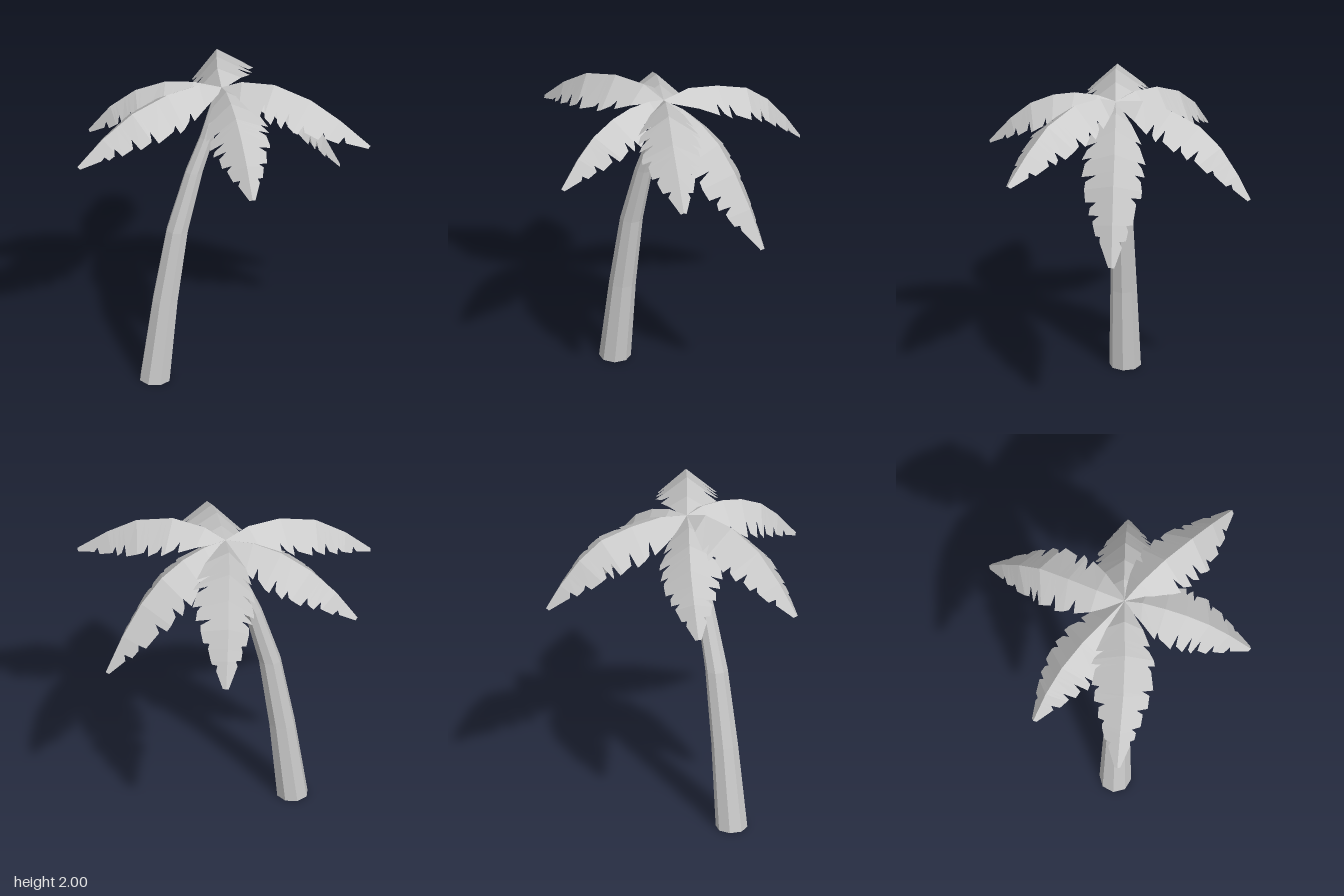
import * as THREE from 'three';

const V = (x, y, z) => new THREE.Vector3(x, y, z);
const material = new THREE.MeshStandardMaterial({ color: 0xcccccc, flatShading: true, side: THREE.DoubleSide });
const CROWN = [0.08, 1.92, 0.04];

// Small seeded generator for the torn leaf edges
function seeded(seed) {
  let s = seed * 7919 + 17;
  return () => (s = (s * 16807) % 2147483647) / 2147483647;
}

// Piecewise linear lookup in [t, value] pairs
function lookup(table, t) {
  for (let i = 1; i < table.length; i++) {
    const [a, va] = table[i - 1], [b, vb] = table[i];
    if (t <= b) return va + (vb - va) * (t - a) / (b - a);
  }
  return table[table.length - 1][1];
}

const WIDTH = [[0, 0.015], [0.06, 0.05], [0.2, 0.15], [0.36, 0.185], [0.55, 0.18], [0.72, 0.14], [0.88, 0.075], [1, 0.018]];

// Trunk: an open eight-sided tube bent through rings of [x, y, radius]
function makeTrunk() {
  const rings = [[-0.34, 0, 0.095], [-0.275, 0.53, 0.08], [-0.198, 1, 0.068], [-0.092, 1.38, 0.054], [-0.01, 1.6, 0.045], [0.075, 1.9, 0.035]];
  const n = rings.length - 1;
  const geo = new THREE.CylinderGeometry(1, 1, n, 8, n, true);
  const pos = geo.attributes.position;
  for (let i = 0; i < pos.count; i++) {
    const [x, y, r] = rings[Math.round(pos.getY(i) + n / 2)];
    pos.setXYZ(i, x + pos.getX(i) * r, y, 0.04 + pos.getZ(i) * r);
  }
  const flat = geo.toNonIndexed();
  flat.computeVertexNormals();
  const mesh = new THREE.Mesh(flat, material);
  mesh.name = 'trunk';
  return mesh;
}

// Share of the full width along one half leaf, with a few sharp tears
function tornEdge(rand) {
  const share = [[0, 1]];
  const tears = 6;
  for (let i = 0; i < tears; i++) {
    const t = 0.24 + 0.7 * (i + 0.6 * rand()) / tears;
    share.push([t, 1.05], [t + 0.006, 0.55 + 0.25 * rand()], [t + 0.034, 0.93]);
  }
  share.push([1, 1]);
  return share;
}

// Frond: two drooping half leaves, faceted at each rib station and folded along the rib
function makeFrond(points, rollDegrees, seed) {
  const ribs = [CROWN, ...points].map(p => V(...p));
  const curve = new THREE.CatmullRomCurve3(ribs);
  const lengths = [0];
  for (let i = 1; i < ribs.length; i++) lengths.push(lengths[i - 1] + ribs[i].distanceTo(ribs[i - 1]));
  const stations = lengths.map(l => l / lengths[ribs.length - 1]);
  const roll = THREE.MathUtils.degToRad(rollDegrees);
  const rand = seeded(seed);
  const verts = [];

  for (const side of [-1, 1]) {
    // Full-width edge at each station
    const edges = ribs.map((rib, i) => {
      const along = curve.getTangent(i / (ribs.length - 1));
      const across = along.clone().cross(V(0, 1, 0)).normalize().applyAxisAngle(along, roll);
      const up = across.clone().cross(along);
      const w = lookup(WIDTH, stations[i]);
      return rib.clone().addScaledVector(across, side * w).addScaledVector(up, -0.8 * w);
    });
    // Columns at the stations and tears, straight between stations
    const share = tornEdge(rand);
    const ts = [...new Set([...stations, ...share.map(s => s[0])])].sort((a, b) => a - b);
    const cols = ts.map(t => {
      const k = Math.max(1, stations.findIndex(s => t <= s));
      const f = (t - stations[k - 1]) / (stations[k] - stations[k - 1]);
      const rib = ribs[k - 1].clone().lerp(ribs[k], f);
      const edge = edges[k - 1].clone().lerp(edges[k], f);
      return [rib, rib.clone().lerp(edge, lookup(share, t))];
    });
    for (let i = 1; i < cols.length; i++) {
      const [a, b] = cols[i - 1], [c, d] = cols[i];
      const tris = side > 0 ? [a, b, d, a, d, c] : [a, d, b, a, c, d];
      tris.forEach(p => verts.push(p.x, p.y, p.z));
    }
  }
  const geo = new THREE.BufferGeometry();
  geo.setAttribute('position', new THREE.Float32BufferAttribute(verts, 3));
  geo.computeVertexNormals();
  return new THREE.Mesh(geo, material);
}

export function createModel() {
  const tree = new THREE.Group();
  tree.name = 'palmTree';
  tree.add(makeTrunk());

  // Roll about the rib in degrees, then rib points from the crown outwards
  const fronds = {
    frondLeft: [-4, [[0.22, 1.91, 0.02], [0.36, 1.86, 0.005], [0.5, 1.77, -0.01], [0.63, 1.62, -0.02], [0.75, 1.42, -0.03], [0.86, 1.19, -0.04]]],
    frondFrontLeft: [0, [[0.18, 1.98, 0.12], [0.34, 2.0, 0.25], [0.52, 1.935, 0.39], [0.67, 1.82, 0.49], [0.825, 1.67, 0.59]]],
    frondFront: [8, [[0.07, 1.95, 0.15], [0.05, 1.95, 0.29], [0.035, 1.92, 0.42], [0.02, 1.85, 0.56], [0.01, 1.74, 0.68], [0, 1.58, 0.81]]],
    frondRight: [-4, [[-0.07, 1.975, 0.06], [-0.28, 1.965, 0.09], [-0.51, 1.89, 0.11], [-0.7, 1.755, 0.115], [-0.86, 1.6, 0.12]]],
    frondBackRight: [5, [[-0.06, 1.93, -0.06], [-0.2, 1.9, -0.17], [-0.35, 1.81, -0.28], [-0.48, 1.68, -0.36], [-0.595, 1.51, -0.42]]],
    frondBackLeft: [-12, [[0.115, 1.95, -0.13], [0.175, 1.92, -0.31], [0.24, 1.86, -0.49], [0.285, 1.75, -0.62], [0.33, 1.6, -0.73], [0.365, 1.46, -0.81]]],
  };
  Object.entries(fronds).forEach(([name, [roll, points]], i) => {
    const frond = makeFrond(points, roll, i + 1);
    frond.name = name;
    tree.add(frond);
  });
  return tree;
}
